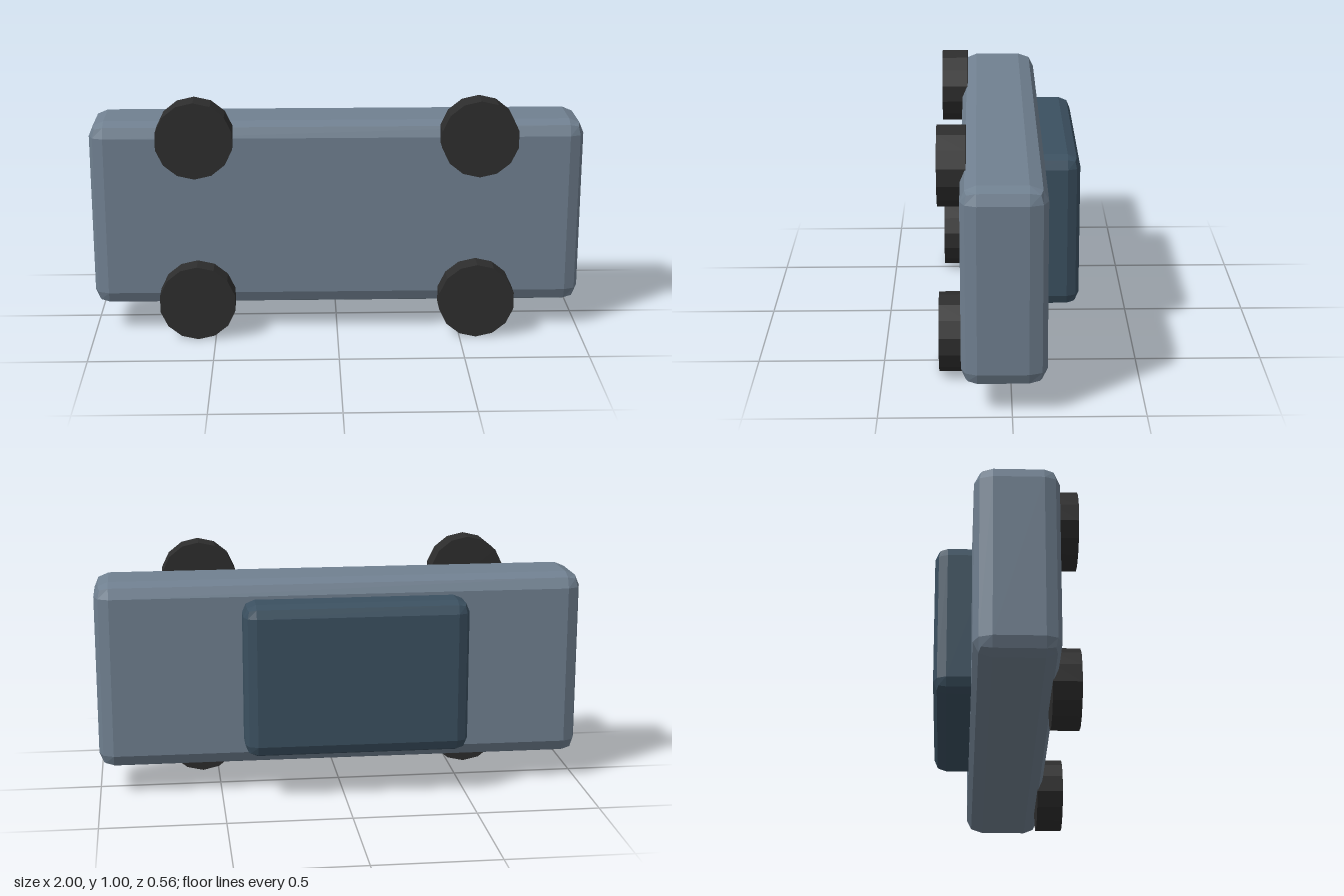
import * as THREE from 'three';

const material = (name, color) => {
  const m = new THREE.MeshStandardMaterial({ color, flatShading: true });
  m.name = name;
  return m;
};

// Box with two-step bevels; backDepth stretches the bevel along -z.
function bevelBox(min, max, r, backDepth = r) {
  const geo = new THREE.BoxGeometry(1, 1, 1, 3, 3, 3);
  const p = geo.attributes.position;
  const dir = new THREE.Vector3();
  for (let i = 0; i < p.count; i++) {
    const c = [p.getX(i), p.getY(i), p.getZ(i)];
    // Outer grid lines lie on the bevel, inner ones on the flat face edge.
    dir.fromArray(c.map(v => (Math.abs(v) > 0.3 ? Math.sign(v) : 0))).normalize();
    const out = c.map((v, k) => {
      const depth = k === 2 && v < 0 ? backDepth : r;
      return (v > 0 ? max[k] - depth : min[k] + depth) + dir.getComponent(k) * depth;
    });
    p.setXYZ(i, ...out);
  }
  geo.computeVertexNormals();
  return geo;
}

export function createModel() {
  const group = new THREE.Group();
  const paint = material('slate paint', 0x708090);
  const glass = material('dark blue cabin', 0x3b5060);
  const rubber = material('black rubber', 0x2d2d2d);

  const add = (name, geo, mat) => {
    const mesh = new THREE.Mesh(geo, mat);
    mesh.name = name;
    group.add(mesh);
    return mesh;
  };

  // Car resting on its side: underside faces +z, roof faces -z
  add('body', bevelBox([-1, 0.112, -0.132], [1, 0.888, 0.19], 0.06, 0.07), paint);
  add('cabin', bevelBox([-0.507, 0.185, -0.278], [0.407, 0.815, 0.0], 0.05), glass);

  // Four wheels under the body
  const wheelGeo = new THREE.CylinderGeometry(0.156, 0.156, 0.11, 14);
  wheelGeo.rotateX(Math.PI / 2);
  for (const x of [-0.571, 0.567]) {
    for (const y of [0.157, 0.841]) {
      const end = x > 0 ? 'Left' : 'Right';
      const side = y > 0.5 ? 'upper' : 'lower';
      add(`${side}${end}Wheel`, wheelGeo, rubber).position.set(x, y, 0.223);
    }
  }
  return group;
}
